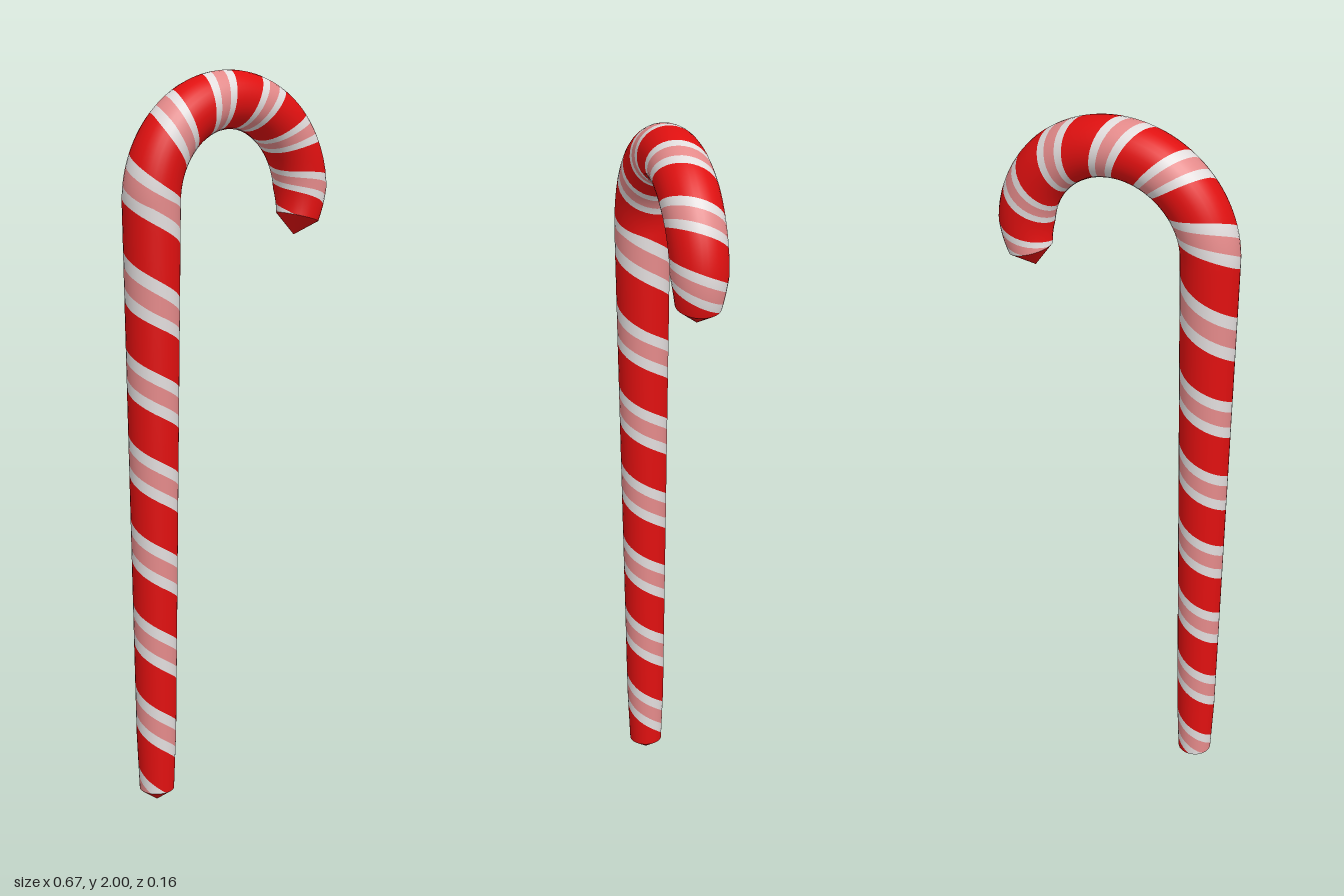
import * as THREE from 'three';

const HOOK_Y = 1.664, HOOK_R = 0.258;
const S_START = 0.035, S_END = HOOK_Y + HOOK_R * THREE.MathUtils.degToRad(195);

// piecewise-linear lookup through [input, output] pairs, extended past both ends
function lookup(table, v) {
  let i = 0;
  while (i < table.length - 2 && v > table[i + 1][0]) i++;
  const [a, b] = [table[i], table[i + 1]];
  return a[1] + (b[1] - a[1]) * (v - a[0]) / (b[0] - a[0]);
}

// thickness along the cane, and where each turn of the stripes falls
const RADIUS = [[0.035, 0.048], [0.2, 0.055], [1, 0.067], [1.664, 0.077], [2.25, 0.078], [2.46, 0.0745], [S_END, 0.06]];
const TURNS = [[0, 0.21], [5, 1.386], [6, 1.655], [7, 1.85], [11, 2.449]];

// point and outward direction on the cane: s runs along it, phi around it
function surface(s, phi) {
  const a = Math.max(0, (s - HOOK_Y) / HOOK_R);
  const centre = new THREE.Vector3(-HOOK_R * Math.cos(a), Math.min(s, HOOK_Y) + HOOK_R * Math.sin(a), 0);
  const out = new THREE.Vector3(-Math.cos(a) * Math.cos(phi), Math.sin(a) * Math.cos(phi), Math.sin(phi));
  return { point: centre.addScaledVector(out, lookup(RADIUS, s)), out };
}

// one stripe winding up the whole cane, from phase p0 to p1 within each turn
function ribbon(p0, p1, across) {
  const perTurn = 32, first = -3, last = 14, n = (last - first) * perTurn;
  const pos = [], nor = [], idx = [], along = [];
  for (let i = 0; i <= n; i++) {
    const t = first + i / perTurn;
    for (let j = 0; j <= across; j++) {
      const phase = t + p0 + (p1 - p0) * j / across;
      const s = THREE.MathUtils.clamp(lookup(TURNS, phase), S_START, S_END);
      const { point, out } = surface(s, Math.PI / 2 - 2 * Math.PI * t);
      pos.push(...point);
      nor.push(...out);
      along.push(s);
    }
  }
  const tri = (a, b, c) => {
    // leave out triangles collapsed onto the ends
    const clamped = [S_START, S_END].some(e => along[a] === e && along[b] === e && along[c] === e);
    if (!clamped) idx.push(a, b, c);
  };
  for (let i = 0; i < n; i++) {
    for (let j = 0; j < across; j++) {
      const a = i * (across + 1) + j, c = a + across + 1;
      tri(a, a + 1, c);
      tri(a + 1, c + 1, c);
    }
  }
  const g = new THREE.BufferGeometry();
  g.setAttribute('position', new THREE.Float32BufferAttribute(pos, 3));
  g.setAttribute('normal', new THREE.Float32BufferAttribute(nor, 3));
  g.setIndex(idx);
  return g;
}

export function createModel() {
  const group = new THREE.Group();
  group.name = 'candyCane';
  const material = (name, color) => {
    const m = new THREE.MeshStandardMaterial({ color });
    m.name = name;
    return m;
  };
  const red = material('red', 0xe01010);
  const white = material('white', 0xe2dddd);
  const pink = material('pink', 0xe48a8a);
  const add = (name, geometry, mat) => {
    const mesh = new THREE.Mesh(geometry, mat);
    mesh.name = name;
    group.add(mesh);
    return mesh;
  };

  // four stripes that together close the surface
  add('pinkStripe', ribbon(-0.1, 0.1, 3), pink);
  add('upperWhiteStripe', ribbon(0.1, 0.24, 2), white);
  add('redStripe', ribbon(0.24, 0.76, 7), red);
  add('lowerWhiteStripe', ribbon(0.76, 0.9, 2), white);

  // shallow cone under the stem
  const foot = add('stemTip', new THREE.ConeGeometry(0.048, S_START, 32, 1, true), red);
  foot.rotation.x = Math.PI;
  foot.position.set(-HOOK_R, S_START / 2, 0);

  // cone closing the hook
  const a = (S_END - HOOK_Y) / HOOK_R, h = 0.05;
  const tip = add('hookTip', new THREE.ConeGeometry(0.06, h, 32, 1, true), red);
  tip.rotation.z = -a;
  tip.position.set(
    -HOOK_R * Math.cos(a) + Math.sin(a) * h / 2,
    HOOK_Y + HOOK_R * Math.sin(a) + Math.cos(a) * h / 2, 0);

  return group;
}
